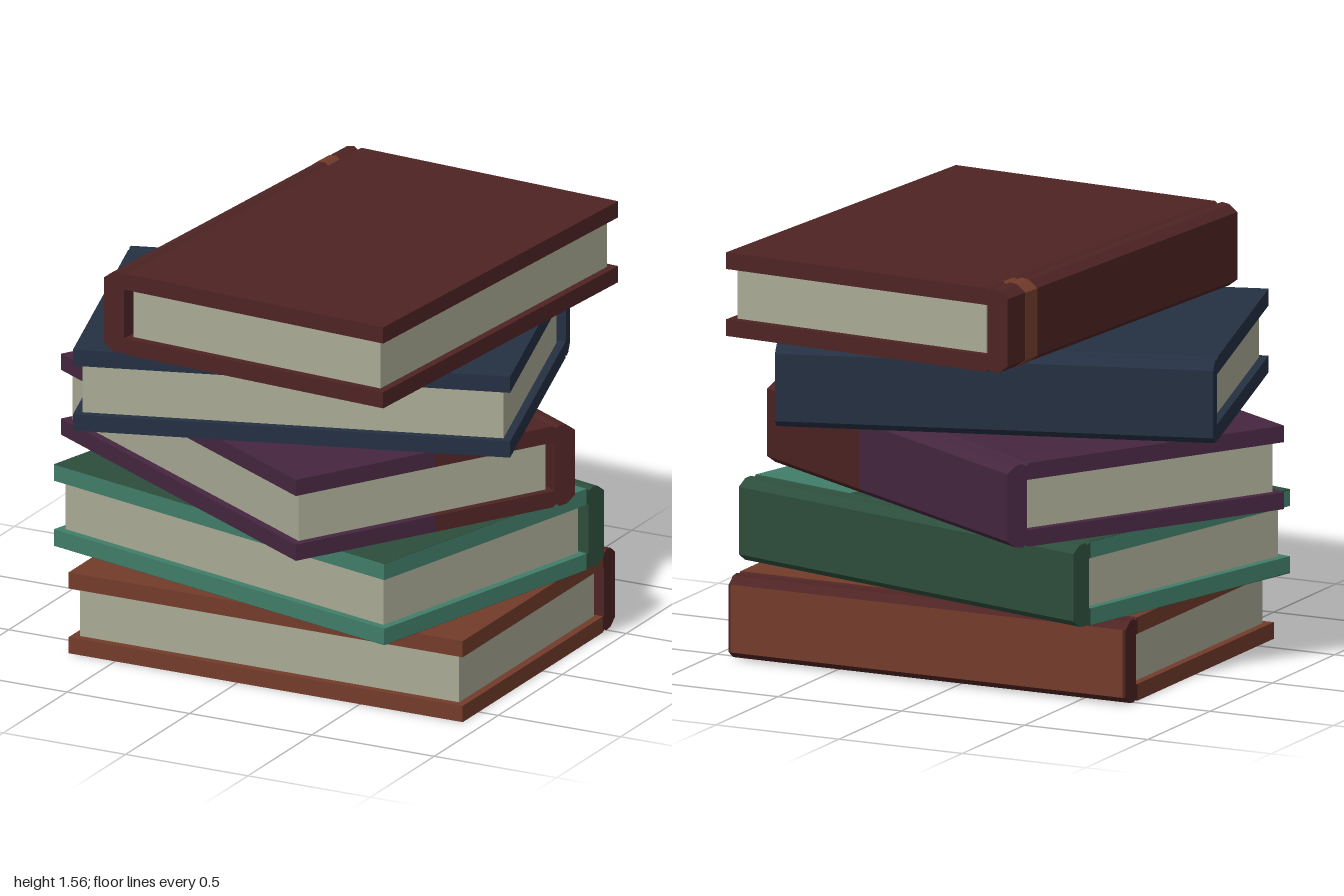
import * as THREE from 'three';

const paint = (name, color) => {
  const m = new THREE.MeshStandardMaterial({ color });
  m.name = name;
  return m;
};
const MAT = {
  pages: paint('paper', 0xa9aa95),
  brown: paint('brown leather', 0x733c2b),
  maroon: paint('maroon leather', 0x4e2323),
  green: paint('dark green cloth', 0x2d4d3c),
  teal: paint('light green cloth', 0x407d69),
  purple: paint('purple cloth', 0x462640),
  navy: paint('navy cloth', 0x243042),
};

const HALF = 0.805;    // half of the book's length
const FORE = 0.595;    // distance from centre to fore edge and to spine
const HINGE = -0.5;    // where boards meet the spine
const H = 0.311;       // book thickness
const T = 0.062;       // board thickness
const PITCH = 0.3125;  // stacking step

// Box given by its limits on each axis
function block(name, mat, x0, x1, y0, y1, z0, z1) {
  const g = new THREE.BoxGeometry(x1 - x0, y1 - y0, z1 - z0);
  g.translate((x0 + x1) / 2, (y0 + y1) / 2, (z0 + z1) / 2);
  const mesh = new THREE.Mesh(g, mat);
  mesh.name = name;
  return mesh;
}

// Length of spine with chamfered corners and a hinge groove; grow swells it outward
function spinePiece(name, mat, x0, x1, grow = 0) {
  const half = [[HINGE, 0], [-0.515, 0.01], [-0.53, -grow], [-0.56, 0.004 - grow], [-FORE - grow, 0.03]];
  const outer = [...half, ...half.map(([z, y]) => [z, H - y]).reverse()];
  const inner = [[HINGE, H - T], [-0.51, H - T], [-0.51, T], [HINGE, T]];
  const shape = new THREE.Shape([...outer, ...inner].map(([z, y]) => new THREE.Vector2(z, y)));
  const g = new THREE.ExtrudeGeometry(shape, { depth: x1 - x0, bevelEnabled: false });
  g.rotateY(-Math.PI / 2); // profile x becomes z, length runs along -x
  g.translate(x1, 0, 0);
  const mesh = new THREE.Mesh(g, mat);
  mesh.name = name;
  return mesh;
}

// spine: [x0, x1, material]; boards: [x0, x1, z0, z1, material]
function makeBook({ name, level, x, z, turn, spine, boards }) {
  const book = new THREE.Group();
  book.name = name;
  book.add(block('pages', MAT.pages, -0.775, 0.775, T - 0.002, H - T + 0.002, -0.488, 0.565));
  for (const [x0, x1, z0, z1, mat] of boards) {
    book.add(block('bottomBoard', mat, x0, x1, 0, T, z0, z1));
    book.add(block('topBoard', mat, x0, x1, H - T, H, z0, z1));
  }
  for (const [x0, x1, mat] of spine) book.add(spinePiece('spine', mat, x0, x1));
  book.position.set(x, level * PITCH, z);
  book.rotation.y = THREE.MathUtils.degToRad(turn);
  return book;
}

const plainBoards = (mat) => [[-HALF, HALF, HINGE, FORE, mat]];
const plainSpine = (mat) => [[-HALF, HALF, mat]];

export function createModel() {
  const stack = new THREE.Group();
  stack.name = 'bookStack';

  // Brown book with maroon hinge and a brown back panel
  const brown = makeBook({
    name: 'brownBook', level: 0, x: 0.115, z: 0.03, turn: 0,
    spine: plainSpine(MAT.maroon), boards: plainBoards(MAT.brown),
  });
  brown.add(block('spinePanel', MAT.brown, -HALF + 0.01, HALF - 0.01, 0.03, H - 0.03, -FORE - 0.004, -FORE + 0.002));

  // Green book: light board edges, dark cloth faces, one light area by the hinge
  const green = makeBook({
    name: 'greenBook', level: 1, x: 0.057, z: 0.02, turn: -14.4,
    spine: plainSpine(MAT.green), boards: plainBoards(MAT.teal),
  });
  green.add(
    block('topCloth', MAT.green, -HALF, HALF, H - 0.003, H + 0.001, -0.15, FORE),
    block('topCloth', MAT.green, -HALF, 0.35, H - 0.003, H + 0.001, HINGE, -0.15),
    block('bottomCloth', MAT.green, -HALF, HALF, -0.001, 0.003, HINGE, FORE),
  );

  // Purple book with one maroon corner at the spine
  const split = 0.19;
  const purple = makeBook({
    name: 'purpleBook', level: 2, x: 0, z: -0.003, turn: -30.5,
    spine: [[-HALF, split, MAT.purple], [split, HALF, MAT.maroon]],
    boards: [
      [-HALF, split, HINGE, 0, MAT.purple],
      [split, HALF, HINGE, 0, MAT.maroon],
      [-HALF, HALF, 0, FORE, MAT.purple],
    ],
  });

  const navy = makeBook({
    name: 'navyBook', level: 3, x: 0.025, z: 0.017, turn: 17.1,
    spine: plainSpine(MAT.navy), boards: plainBoards(MAT.navy),
  });

  // Maroon book with a brown band round the spine
  const maroon = makeBook({
    name: 'maroonBook', level: 4, x: 0.19, z: 0.022, turn: 85.7,
    spine: plainSpine(MAT.maroon), boards: plainBoards(MAT.maroon),
  });
  maroon.add(spinePiece('spineBand', MAT.brown, 0.6, 0.68, 0.002));

  stack.add(brown, green, purple, navy, maroon);
  return stack;
}
